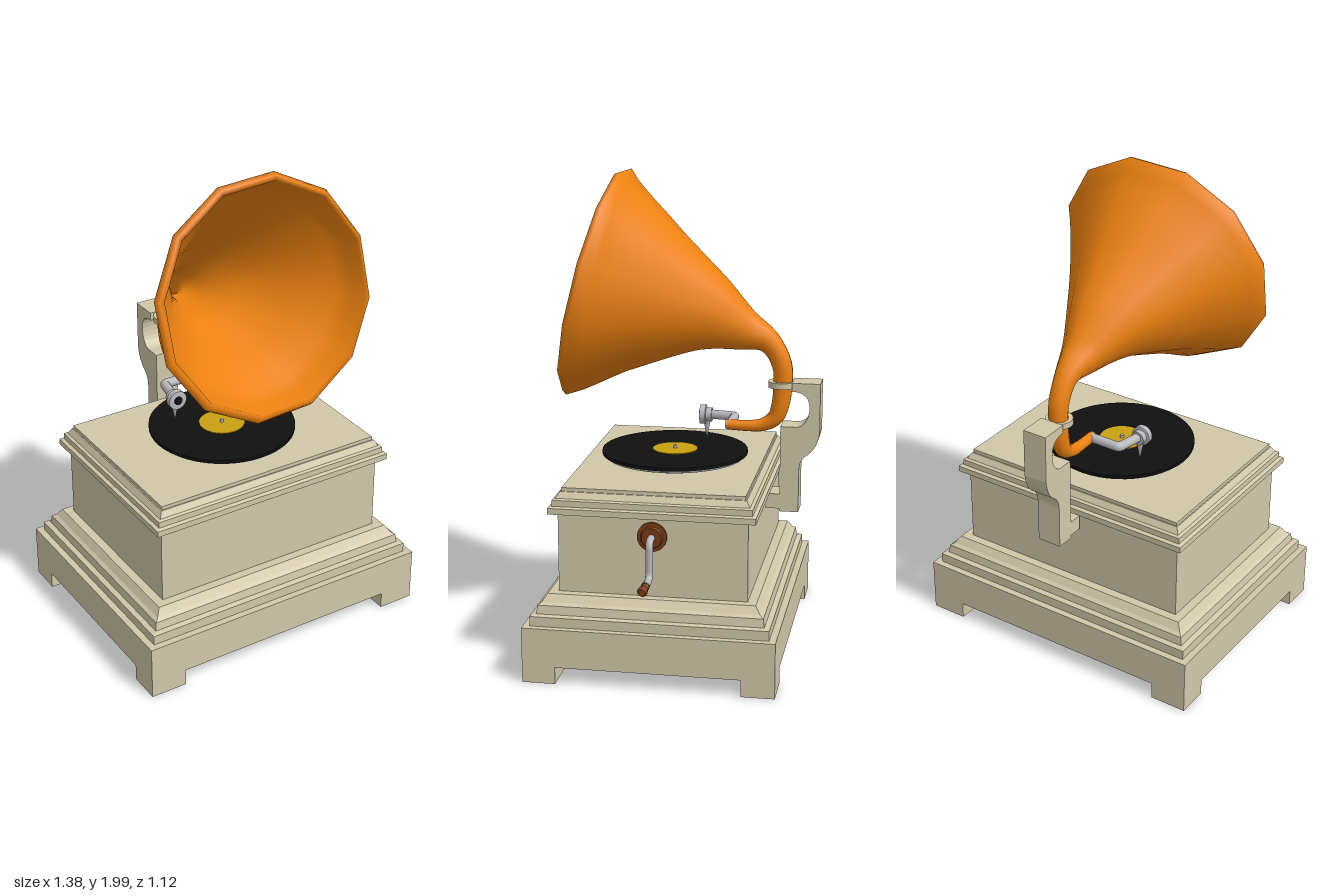
import * as THREE from 'three';

const CX = -0.05, CZ = 0.055; // cabinet centre
const V = (x, y, z) => new THREE.Vector3(x, y, z);
const mat = (color, extra = {}) => Object.assign(new THREE.MeshStandardMaterial({ color }), extra);

const wood = mat(0xd2c8aa, { flatShading: true });
const brass = mat(0xee8210, { side: THREE.DoubleSide });
const metal = mat(0xb8b8bd);
const vinyl = mat(0x101010);
const yellow = mat(0xc9a012);
const brown = mat(0x7a3a12);

// Skin a list of closed rings, each with the same number of points
function loft(rings) {
  const n = rings[0].length, index = [];
  for (let i = 0; i < rings.length - 1; i++) {
    for (let j = 0; j < n; j++) {
      const a = i * n + j, b = i * n + (j + 1) % n;
      index.push(a, b, b + n, a, b + n, a + n);
    }
  }
  const geo = new THREE.BufferGeometry().setFromPoints(rings.flat());
  geo.setIndex(index);
  geo.computeVertexNormals();
  return geo;
}

// Pipe along a polyline with rounded corners
function pipe(pts, radius, bend) {
  const path = new THREE.CurvePath();
  let from = pts[0];
  for (let i = 1; i < pts.length - 1; i++) {
    const p = pts[i];
    const a = p.clone().add(pts[i - 1].clone().sub(p).setLength(bend));
    const b = p.clone().add(pts[i + 1].clone().sub(p).setLength(bend));
    path.add(new THREE.LineCurve3(from, a));
    path.add(new THREE.QuadraticBezierCurve3(a, p, b));
    from = b;
  }
  path.add(new THREE.LineCurve3(from, pts[pts.length - 1]));
  return new THREE.TubeGeometry(path, 48, radius, 12);
}

// Profile of [radius, height] pairs turned with hard edges between bands
function turned(profile, sides = 32) {
  const pts = [];
  profile.forEach(([r, y], i) => {
    pts.push(new THREE.Vector2(r, y));
    if (i > 0 && i < profile.length - 1) pts.push(new THREE.Vector2(r, y));
  });
  return new THREE.LatheGeometry(pts, sides);
}

// Moulded cabinet: rectangular rings given as [inset, y]
function cabinetGeometry() {
  const profile = [
    [0.51, 0.07], [0, 0.07], [0, 0.23], [0.028, 0.23], [0.028, 0.27], [0.05, 0.275],
    [0.055, 0.31], [0.07, 0.32], [0.09, 0.35], [0.127, 0.35], [0.127, 0.68], [0.093, 0.68],
    [0.093, 0.705], [0.108, 0.71], [0.108, 0.735], [0.12, 0.74], [0.135, 0.765],
    [0.14, 0.765], [0.14, 0.78], [0.51, 0.78],
  ];
  const rings = profile.map(([d, y]) => {
    const x = 0.645 - d, z = 0.51 - d;
    return [[-x, z], [x, z], [x, -z], [-x, -z]].map(([px, pz]) => V(CX + px, y, CZ + pz));
  });
  const geo = loft(rings).toNonIndexed();
  geo.computeVertexNormals();
  return geo;
}

// Twelve-sided horn: outer skin, rolled lip and inner skin in one loft
function hornGeometry() {
  // stations are (radius, y, z) from the tonearm joint to the mouth
  const stations = new THREE.CatmullRomCurve3([
    V(0.021, 0.937, -0.165), V(0.023, 0.935, -0.25), V(0.027, 0.942, -0.315), V(0.034, 0.975, -0.367),
    V(0.038, 1.03, -0.388), V(0.04, 1.11, -0.397), V(0.042, 1.2, -0.393), V(0.05, 1.295, -0.338),
    V(0.097, 1.349, -0.219), V(0.18, 1.413, -0.07), V(0.333, 1.478, 0.166), V(0.489, 1.525, 0.375),
  ]);
  const mouth = V(0, 0.24, 0.97).normalize();
  const ring = (r, y, z, t) => Array.from({ length: 12 }, (_, j) => {
    const a = THREE.MathUtils.degToRad(17.7 + 30 * j);
    return V(CX + r * Math.cos(a), y + r * Math.sin(a) * t.z, z - r * Math.sin(a) * t.y);
  });
  const N = 44, outer = [], inner = [];
  for (let i = 0; i <= N; i++) {
    const p = stations.getPoint(i / N);
    const t = stations.getTangent(i / N).setX(0).normalize();
    if (i === N) t.copy(mouth);
    outer.push(ring(p.x, p.y, p.z, t));
    if (i > N * 0.55 && i < N) inner.unshift(ring(p.x - 0.012, p.y, p.z, t));
  }
  return loft([...outer, ring(0.475, 1.53, 0.395, mouth), ring(0.455, 1.53, 0.395, mouth), ...inner]);
}

// Rear bracket outline in (z, y), extruded across x
function bracketGeometry() {
  const s = new THREE.Shape();
  s.moveTo(-0.335, 0.66);
  s.lineTo(-0.395, 0.66);
  s.lineTo(-0.395, 0.95);
  s.lineTo(-0.465, 0.95);
  s.quadraticCurveTo(-0.51, 0.96, -0.515, 1.03);
  s.quadraticCurveTo(-0.515, 1.1, -0.44, 1.1);
  s.lineTo(-0.44, 1.135);
  s.lineTo(-0.558, 1.135);
  s.lineTo(-0.558, 0.93);
  s.quadraticCurveTo(-0.55, 0.86, -0.505, 0.83);
  s.quadraticCurveTo(-0.474, 0.81, -0.474, 0.76);
  s.lineTo(-0.474, 0.585);
  s.lineTo(-0.395, 0.585);
  s.lineTo(-0.395, 0.597);
  s.lineTo(-0.335, 0.597);
  const geo = new THREE.ExtrudeGeometry(s, { depth: 0.105, bevelEnabled: false, curveSegments: 6 });
  // shape x becomes world z, extrusion becomes world -x
  return geo.rotateY(-Math.PI / 2).translate(CX + 0.0525, 0, 0);
}

export function createModel() {
  const model = new THREE.Group();
  const add = (name, geo, material, x = 0, y = 0, z = 0, parent = model) => {
    const mesh = new THREE.Mesh(geo, material);
    mesh.name = name;
    mesh.position.set(x, y, z);
    parent.add(mesh);
    return mesh;
  };
  const group = (name) => {
    const g = new THREE.Group();
    g.name = name;
    model.add(g);
    return g;
  };

  // Cabinet and feet
  add('cabinet', cabinetGeometry(), wood);
  const feet = group('feet');
  for (const sx of [-1, 1]) {
    for (const sz of [-1, 1]) {
      add('foot', new THREE.BoxGeometry(0.155, 0.07, 0.135), wood,
        CX + sx * 0.5675, 0.035, CZ + sz * 0.4425, feet);
    }
  }

  // Turntable, record, label and spindle
  const deck = group('turntable');
  add('platter', turned([[0, 0.778], [0.235, 0.778], [0.235, 0.793], [0.292, 0.797], [0.298, 0.81], [0, 0.81]], 48),
    metal, CX, 0, CZ, deck);
  add('record', turned([[0, 0.808], [0.306, 0.808], [0.306, 0.822], [0, 0.822]], 48), vinyl, CX, 0, CZ, deck);
  add('label', new THREE.CylinderGeometry(0.095, 0.095, 0.004, 32), yellow, CX, 0.823, CZ, deck);
  add('spindle', new THREE.CylinderGeometry(0.008, 0.008, 0.016, 12), metal, CX, 0.83, CZ, deck);

  // Horn with its bracket and collar
  add('horn', hornGeometry(), brass);
  add('bracket', bracketGeometry(), wood);
  add('collar', new THREE.CylinderGeometry(0.056, 0.056, 0.025, 24), mat(0xd2c8aa), CX, 1.119, -0.393);

  // Tonearm, sound box and needle
  const arm = group('tonearm');
  add('armTube', pipe([V(CX, 0.937, -0.16), V(CX, 0.937, -0.176), V(-0.19, 0.937, -0.178), V(-0.212, 0.937, -0.06)], 0.02, 0.012),
    metal, 0, 0, 0, arm);
  const box = add('soundBox', turned([[0, 0], [0.03, 0], [0.03, 0.024], [0.041, 0.026], [0.041, 0.05], [0.02, 0.052], [0, 0.052]]),
    metal, -0.212, 0.935, -0.077, arm);
  box.rotation.x = Math.PI / 2;
  const hole = add('diaphragm', new THREE.CylinderGeometry(0.019, 0.019, 0.004, 20), vinyl, -0.212, 0.935, -0.024, arm);
  hole.rotation.x = Math.PI / 2;
  const needle = add('needle', new THREE.ConeGeometry(0.015, 0.08, 12), metal, -0.212, 0.868, -0.055, arm);
  needle.rotation.x = Math.PI;

  // Crank on the left side
  const crank = group('crank');
  const rosette = add('rosette', turned([[0, 0], [0.06, 0], [0.06, 0.012], [0.045, 0.014], [0.04, 0.024], [0, 0.024]]),
    brown, 0.466, 0.6, CZ, crank);
  rosette.rotation.z = -Math.PI / 2;
  add('crankRod', pipe([V(0.47, 0.6, CZ), V(0.535, 0.6, CZ), V(0.535, 0.443, CZ), V(0.63, 0.443, CZ)], 0.015, 0.035),
    metal, 0, 0, 0, crank);
  const grip = add('crankGrip', turned([[0, 0], [0.017, 0], [0.017, 0.01], [0.014, 0.014], [0.021, 0.06], [0.014, 0.077], [0, 0.077]], 16),
    brown, 0.612, 0.443, CZ, crank);
  grip.rotation.z = -Math.PI / 2;

  return model;
}
